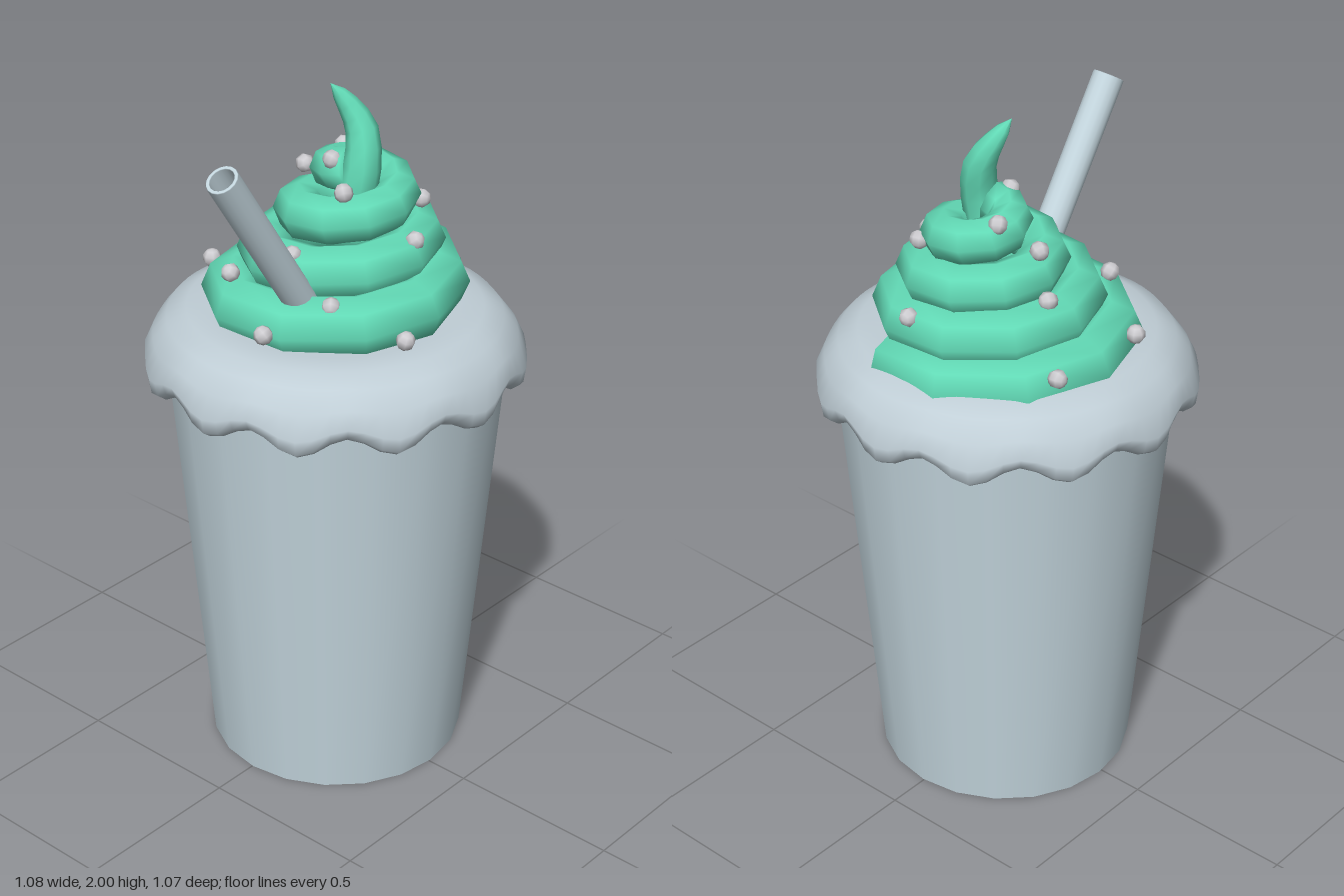
import * as THREE from 'three';

const mat = (name, color) => {
  const m = new THREE.MeshStandardMaterial({ color });
  m.name = name;
  return m;
};

// Smooth skin over a list of closed rings
function loft(rings) {
  const n = rings[0].length, pos = [], idx = [];
  rings.forEach(ring => ring.forEach(p => pos.push(p.x, p.y, p.z)));
  for (let i = 0; i < rings.length - 1; i++) {
    for (let j = 0; j < n; j++) {
      const a = i * n + j, b = a + n, c = i * n + (j + 1) % n, d = c + n;
      idx.push(a, b, c, b, d, c);
    }
  }
  const g = new THREE.BufferGeometry();
  g.setAttribute('position', new THREE.Float32BufferAttribute(pos, 3));
  g.setIndex(idx);
  g.computeVertexNormals();
  return g;
}

// Tube of changing radius along a list of points
function taperedTube(points, radii, ref, sides = 8) {
  const rings = points.map((p, i) => {
    const T = points[Math.min(i + 1, points.length - 1)].clone().sub(points[Math.max(i - 1, 0)]).normalize();
    const side = T.clone().cross(ref).normalize();
    const up = side.clone().cross(T);
    return Array.from({ length: sides }, (_, j) => {
      const a = j / sides * Math.PI * 2;
      return p.clone().addScaledVector(side, Math.cos(a) * radii[i]).addScaledVector(up, Math.sin(a) * radii[i]);
    });
  });
  const cap = k => rings[k].map(() => points[k].clone());
  return loft([cap(0), ...rings, cap(points.length - 1)]);
}

export function createModel() {
  const group = new THREE.Group();
  const cupMat = mat('cup pale blue', 0xc4d6de);
  const rimMat = mat('cream pale grey', 0xc0ced6);
  const mintMat = mat('mint green', 0x62dab6);
  const beadMat = mat('sprinkle grey', 0xcfced2);
  const add = (name, geometry, material, x = 0, y = 0, z = 0) => {
    const m = new THREE.Mesh(geometry, material);
    m.name = name;
    m.position.set(x, y, z);
    group.add(m);
    return m;
  };

  // Tapered cup
  add('cup', new THREE.CylinderGeometry(0.477, 0.367, 1.26, 20), cupMat, 0.008, 0.63, 0.003);

  // Cream collar with a scalloped lower edge: radius, height, wave share
  const profile = [
    [0, 1.36, 0], [0.34, 1.375, 0], [0.41, 1.37, 0], [0.465, 1.345, 0.05], [0.505, 1.295, 0.25],
    [0.53, 1.24, 0.7], [0.522, 1.205, 1], [0.498, 1.188, 1], [0.475, 1.205, 0.9], [0.44, 1.25, 0.3],
  ];
  const cols = 72;
  add('creamCollar', loft(profile.map(([r, y, w]) => Array.from({ length: cols }, (_, j) => {
    const a = j / cols * Math.PI * 2;
    const wave = Math.cos(12 * a) * w;
    const rr = r + 0.006 * wave;
    return new THREE.Vector3(rr * Math.cos(a), y - 0.026 * wave, -rr * Math.sin(a));
  }))), rimMat, 0.005, 0, 0);

  // Whipped swirl: one shrinking, rising coil
  const pts = [], radii = [];
  for (let i = 0; i <= 36; i++) {
    const t = -0.06 + i * 0.1;
    const tube = 0.094 - 0.01 * t;
    const r = Math.max(0.42 - 0.085 * t - tube, 0.03), a = t * Math.PI * 2;
    pts.push(new THREE.Vector3(0.02 + 0.025 * t + r * Math.cos(a), 1.35 + 0.116 * t, -r * Math.sin(a)));
    radii.push(tube);
  }
  add('whippedSwirl', taperedTube(pts, radii, new THREE.Vector3(0, 1, 0)), mintMat);

  // Curled peak on top of the swirl
  const peak = new THREE.CatmullRomCurve3([
    [0.045, 1.66, 0.03], [0.055, 1.77, 0.052], [0.073, 1.87, 0.035], [0.055, 1.94, 0], [0.02, 2, -0.03],
  ].map(p => new THREE.Vector3(...p)));
  const peakR = [0.055, 0.055, 0.052, 0.049, 0.045, 0.038, 0.03, 0.02, 0];
  add('swirlPeak', taperedTube(peak.getPoints(8), peakR, new THREE.Vector3(1, 0, 0)), mintMat);

  // Hollow straw leaning to the right
  const wall = [[0.045, -0.34], [0.045, 0.338], [0.043, 0.34], [0.036, 0.34], [0.034, 0.338], [0.034, -0.34]];
  const straw = add('straw', new THREE.LatheGeometry(wall.map(p => new THREE.Vector2(...p)), 16), cupMat, -0.315, 1.637, 0.068);
  straw.rotation.z = 0.58;

  // Round sprinkles scattered over the swirl
  const bead = new THREE.SphereGeometry(0.027, 7, 5);
  [
    [-0.1, 1.43, -0.365], [0.2, 1.415, -0.345], [0.11, 1.57, -0.235], [0.1, 1.7, -0.195],
    [0.155, 1.765, -0.1], [0.01, 1.79, -0.015], [-0.035, 1.73, 0.065], [-0.235, 1.495, -0.165],
    [-0.185, 1.585, 0.015], [-0.205, 1.49, 0.17], [0.06, 1.61, 0.235], [0.2, 1.66, 0.14],
    [-0.112, 1.415, 0.35], [0.342, 1.515, 0.05], [-0.35, 1.425, 0.06],
  ].forEach((p, i) => {
    add('sprinkle', bead, beadMat, ...p).rotation.set(i, i * 1.7, i * 0.6);
  });

  return group;
}
